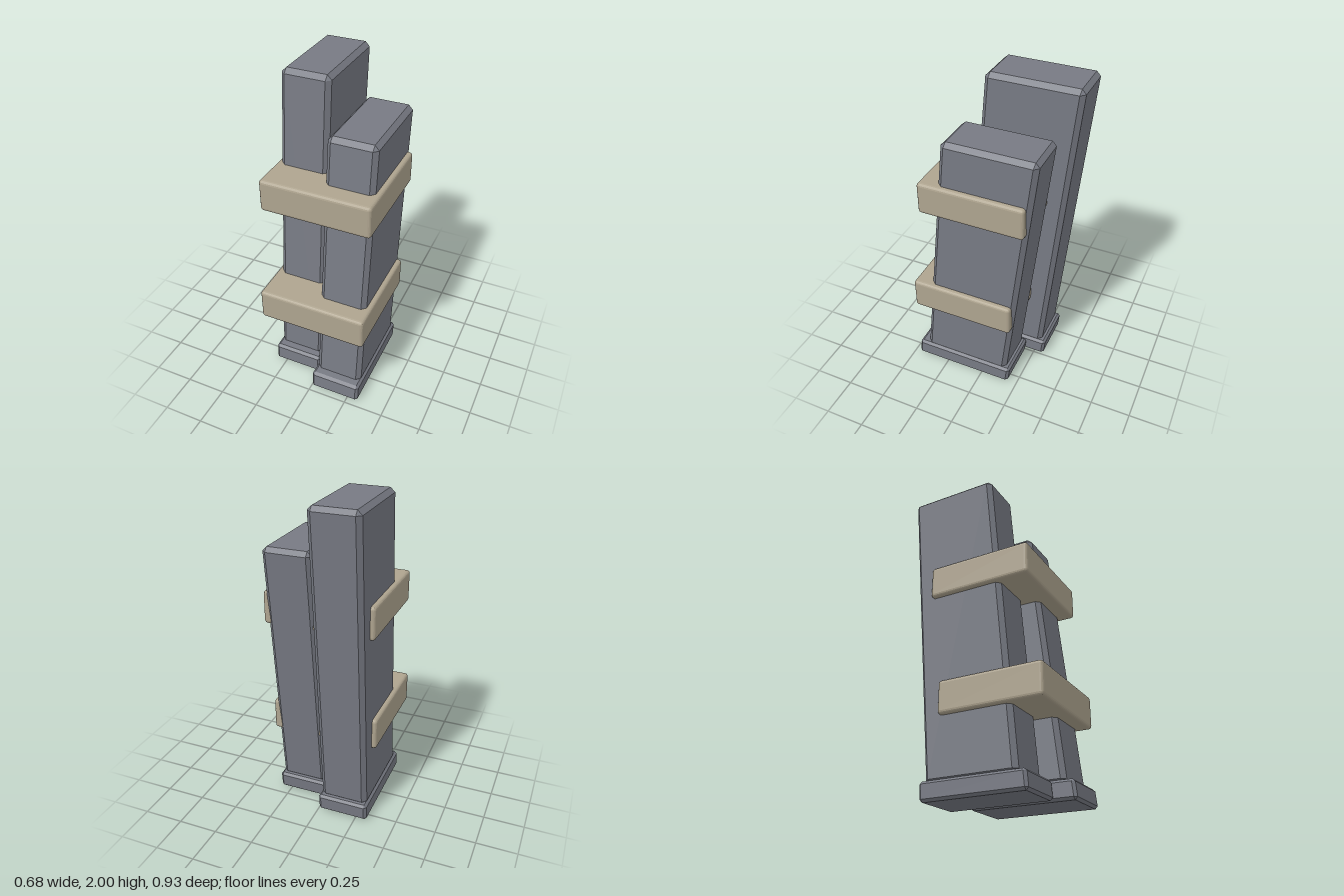
import * as THREE from 'three';
import { ConvexGeometry } from 'three/addons/geometries/ConvexGeometry.js';
import { RoundedBoxGeometry } from 'three/addons/geometries/RoundedBoxGeometry.js';

const steel = new THREE.MeshStandardMaterial({ color: 0x777a83, flatShading: true });
steel.name = 'grey steel';
const tan = new THREE.MeshStandardMaterial({ color: 0xaea48f, flatShading: true });
tan.name = 'tan clamp';

// Box with every edge chamfered by c, sheared so that z = z0 - slope * y
function leaningBlock(x0, x1, y0, y1, depth, c, z0, slope) {
  const half = [(x1 - x0) / 2, (y1 - y0) / 2, depth / 2];
  const points = [];
  for (const sx of [-1, 1]) for (const sy of [-1, 1]) for (const sz of [-1, 1]) {
    for (let axis = 0; axis < 3; axis++) {
      const p = [sx, sy, sz].map((s, i) => s * (half[i] - (i === axis ? 0 : c)));
      const y = p[1] + (y0 + y1) / 2;
      points.push(new THREE.Vector3(p[0] + (x0 + x1) / 2, y, p[2] + z0 - slope * y));
    }
  }
  return new ConvexGeometry(points);
}

function addMesh(parent, name, geometry, material) {
  const mesh = new THREE.Mesh(geometry, material);
  mesh.name = name;
  parent.add(mesh);
  return mesh;
}

// Leaning body standing on a wider floor plate
function addMagazine(parent, name, { x, top, z0, slope }) {
  const group = new THREE.Group();
  group.name = name;
  addMesh(group, 'body', leaningBlock(x - 0.148, x + 0.148, 0.095, top, 0.57, 0.027, z0, slope), steel);
  addMesh(group, 'floorPlate', leaningBlock(x - 0.159, x + 0.159, 0, 0.115, 0.655, 0.016, z0 + 0.012, slope), steel);
  parent.add(group);
}

export function createModel() {
  const model = new THREE.Group();
  model.name = 'clampedMagazines';

  addMagazine(model, 'tallMagazine', { x: -0.163, top: 2, z0: 0.001, slope: 0.0895 });
  addMagazine(model, 'shortMagazine', { x: 0.161, top: 1.715, z0: 0.127, slope: 0.111 });

  // Solid clamps that both magazines pass through
  const clamps = [['lowerClamp', 0.575, 0.12], ['upperClamp', 1.335, 0.042]];
  for (const [name, y, z] of clamps) {
    addMesh(model, name, new RoundedBoxGeometry(0.68, 0.202, 0.656, 2, 0.02), tan).position.set(0, y, z);
  }
  return model;
}
